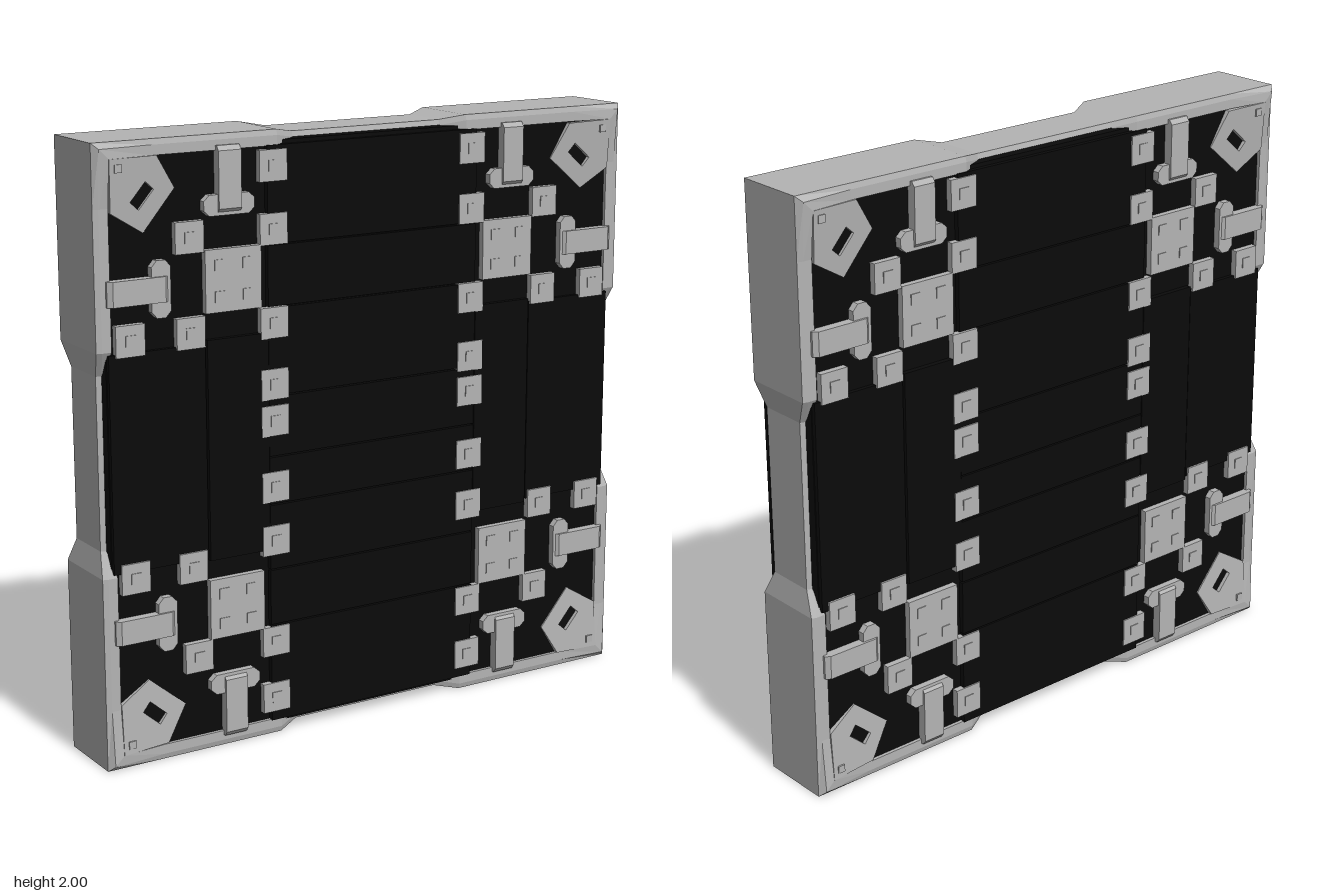
import * as THREE from 'three';

const grey = new THREE.MeshStandardMaterial({ color: 0xb4b4b4 });
grey.name = 'light grey metal';
const black = new THREE.MeshStandardMaterial({ color: 0x0b0b0b });
black.name = 'black panel';

function add(parent, name, geometry, material, x = 0, y = 0, z = 0) {
  const mesh = new THREE.Mesh(geometry, material);
  mesh.name = name;
  mesh.position.set(x, y, z);
  parent.add(mesh);
  return mesh;
}

const box = (w, h, d) => new THREE.BoxGeometry(w, h, d);
const polygon = (points) => new THREE.Shape(points.map(([x, y]) => new THREE.Vector2(x, y)));

// One mitred side of the frame: narrow waist in the middle, flared lips at the ends
function frameBarGeometry() {
  // along, outer edge, inner edge, half depth, lip half depth
  const half = [
    [0.28, 0.985, 0.967, 0.09, 0.09],
    [0.36, 1, 0.95, 0.13, 0.13],
    [0.8, 1, 0.95, 0.13, 0.13],
    [1, 1, 0.95, 0.13, 0.145],
  ];
  const stations = [...half.map(([s, ...r]) => [-s, ...r]).reverse(), ...half];
  const rings = stations.map(([s, outer, inner, d, lip]) => [
    [outer, d - 0.005], [outer - 0.018, lip], [inner, lip],
    [inner, -lip], [outer - 0.018, -lip], [outer, -d + 0.005],
  ].map(([u, z]) => [Math.abs(s) === 1 ? s * u : s, u, z]));
  const positions = [];
  for (let i = 0; i < rings.length - 1; i++) {
    for (let j = 0; j < 6; j++) {
      const k = (j + 1) % 6;
      const a = rings[i][j], b = rings[i + 1][j], c = rings[i + 1][k], d = rings[i][k];
      positions.push(...a, ...d, ...c, ...a, ...c, ...b);
    }
  }
  const g = new THREE.BufferGeometry();
  g.setAttribute('position', new THREE.Float32BufferAttribute(positions, 3));
  g.computeVertexNormals();
  return g;
}

// Strap clamp, extruded from its side profile (outward, depth)
function clampGeometry() {
  const profile = polygon([[0.755, 0.1], [0.965, 0.1], [0.965, 0.138], [0.95, 0.15], [0.77, 0.15], [0.755, 0.138]]);
  const g = new THREE.ExtrudeGeometry(profile, { depth: 0.08, bevelEnabled: false });
  g.translate(0, 0, -0.04);
  const toFace = new THREE.Matrix4().makeBasis(
    new THREE.Vector3(0, 1, 0), new THREE.Vector3(0, 0, 1), new THREE.Vector3(1, 0, 0));
  return g.applyMatrix4(toFace);
}

// Eight-sided foot under each clamp
function footGeometry() {
  const foot = polygon([[-0.09, -0.015], [-0.07, -0.033], [0.07, -0.033], [0.09, -0.015],
    [0.09, 0.015], [0.07, 0.033], [-0.07, 0.033], [-0.09, 0.015]]);
  return new THREE.ExtrudeGeometry(foot, { depth: 0.042, bevelEnabled: false });
}

// Five-sided corner bracket with a slot, sloping up towards the corner
function bracketGeometry() {
  const shape = polygon([[0.95, 0.95], [0.785, 0.945], [0.715, 0.83], [0.845, 0.72], [0.95, 0.785]]);
  const slot = [[-0.04, -0.02], [-0.04, 0.02], [0.04, 0.02], [0.04, -0.02]].map(([x, y]) => {
    const p = new THREE.Vector2(x, y).rotateAround(new THREE.Vector2(), -0.72);
    return p.add(new THREE.Vector2(0.83, 0.835));
  });
  shape.holes.push(new THREE.Path(slot));
  const g = new THREE.ExtrudeGeometry(shape, { depth: 0.052, bevelEnabled: false });
  g.translate(0, 0, 0.07);
  const p = g.attributes.position;
  for (let i = 0; i < p.count; i++) {
    p.setZ(i, p.getZ(i) + 0.07 * (p.getX(i) + p.getY(i) - 1.55));
  }
  g.computeVertexNormals();
  return g;
}

// Everything fixed on one face, measured from the panel centre
function buildFace(name) {
  const face = new THREE.Group();
  face.name = name;

  // Black planks with fine seams
  const seams = [0.045, 0.38, 0.57, 0.79, 0.95, 1.15, 1.44, 1.64, 1.955];
  for (let i = 0; i < seams.length - 1; i++) {
    const h = seams[i + 1] - seams[i] - 0.005;
    add(face, 'centrePlank', box(0.8, h, 0.05), black, 0, (seams[i] + seams[i + 1]) / 2 - 1, 0.11);
  }
  for (const side of [-1, 1]) {
    add(face, 'innerSidePlank', box(0.22, 0.72, 0.05), black, side * 0.512, 0, 0.112);
    add(face, 'outerSidePlank', box(0.335, 0.7, 0.05), black, side * 0.795, 0, 0.108);
  }

  // Small square plates, each with one stud
  const plate = box(0.1, 0.1, 0.04);
  const stud = box(0.035, 0.035, 0.004);
  const plates = [
    [0.38, 1.89], [0.38, 1.69], [0.68, 1.69], [0.38, 1.39], [0.68, 1.39], [0.89, 1.39],
    [0.38, 1.19], [0.38, 1.07], [0.38, 0.85], [0.38, 0.67], [0.685, 0.63], [0.89, 0.63],
    [0.67, 0.325], [0.383, 0.325], [0.383, 0.13],
  ];
  const largePlate = box(0.2, 0.2, 0.04);
  for (const side of [-1, 1]) {
    for (const [x, y] of plates) {
      add(face, 'squarePlate', plate, grey, side * x, y - 1, 0.12);
      add(face, 'plateStud', stud, grey, side * x, y - 1, 0.141);
    }
    // Large plates with four studs
    for (const y of [1.545, 0.475]) {
      add(face, 'largePlate', largePlate, grey, side * 0.527, y - 1, 0.12);
      for (const dx of [-0.05, 0.05]) {
        for (const dy of [-0.05, 0.05]) {
          add(face, 'plateStud', stud, grey, side * 0.527 + dx, y - 1 + dy, 0.141);
        }
      }
    }
  }

  // Two clamps per edge and one bracket per corner
  const clamp = clampGeometry(), foot = footGeometry(), bracket = bracketGeometry();
  for (let k = 0; k < 4; k++) {
    const edge = new THREE.Group();
    edge.name = 'edgeFittings';
    edge.rotation.z = k * Math.PI / 2;
    for (const x of [-0.54, 0.54]) {
      add(edge, 'clamp', clamp, grey, x);
      add(edge, 'clampFoot', foot, grey, x, 0.782, 0.1);
    }
    add(edge, 'cornerBracket', bracket, grey);
    add(edge, 'cornerStud', box(0.025, 0.025, 0.006), grey, 0.92, 0.92, 0.144);
    face.add(edge);
  }
  return face;
}

export function createModel() {
  const model = new THREE.Group();
  model.name = 'framedPanel';
  const body = new THREE.Group();
  body.name = 'panelBody';
  body.position.y = 1;
  model.add(body);

  // Core board
  add(body, 'coreBoard', box(1.93, 1.93, 0.236), black);

  // Frame
  const bar = frameBarGeometry();
  for (let k = 0; k < 4; k++) {
    add(body, 'frameBar', bar, grey).rotation.z = k * Math.PI / 2;
  }

  // Matching front and back faces
  body.add(buildFace('frontFace'));
  const back = buildFace('backFace');
  back.rotation.y = Math.PI;
  body.add(back);
  return model;
}
